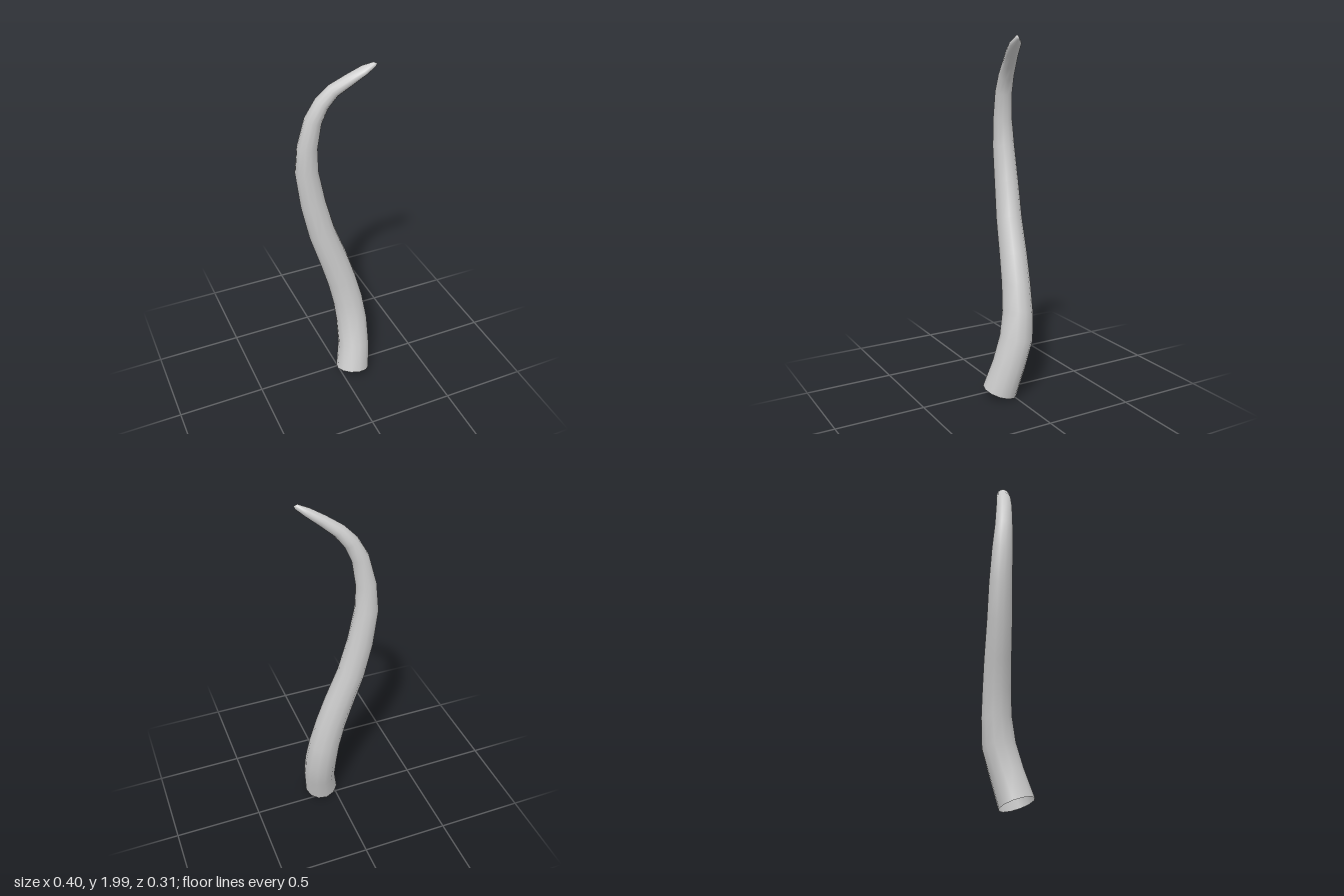
import * as THREE from 'three';

const SIDES = 12;

// Cross-sections from root to tip: centre x, y, z, half width, half depth
const SECTIONS = [
  [0.073, 0.042, 0.062, 0.099, 0.099],
  [0.098, 0.20, 0.017, 0.093, 0.094],
  [0.103, 0.35, -0.027, 0.093, 0.094],
  [0.085, 0.50, -0.046, 0.090, 0.084],
  [0.050, 0.65, -0.056, 0.086, 0.079],
  [0.005, 0.80, -0.065, 0.083, 0.076],
  [-0.062, 1.00, -0.076, 0.077, 0.071],
  [-0.108, 1.20, -0.085, 0.072, 0.066],
  [-0.140, 1.40, -0.085, 0.065, 0.060],
  [-0.137, 1.55, -0.077, 0.056, 0.052],
  [-0.107, 1.70, -0.066, 0.047, 0.047],
  [-0.062, 1.79, -0.056, 0.041, 0.043],
  [-0.005, 1.855, -0.042, 0.036, 0.038],
  [0.070, 1.91, -0.014, 0.030, 0.036],
  [0.140, 1.957, 0.007, 0.023, 0.033],
  [0.188, 1.986, 0.023, 0.014, 0.009],
];

// Skins elliptical rings set square to the curved centre line
function createTentacleGeometry() {
  const centres = SECTIONS.map(([x, y, z]) => new THREE.Vector3(x, y, z));
  const zAxis = new THREE.Vector3(0, 0, 1);
  const positions = [];
  const indices = [];
  const last = SECTIONS.length - 1;

  SECTIONS.forEach(([, , , halfWidth, halfDepth], i) => {
    const tangent = centres[Math.min(i + 1, last)].clone()
      .sub(centres[Math.max(i - 1, 0)]).normalize();
    const across = tangent.clone().cross(zAxis).normalize();
    const depth = across.clone().cross(tangent);
    for (let j = 0; j < SIDES; j++) {
      const angle = (j / SIDES) * Math.PI * 2;
      const p = centres[i].clone()
        .addScaledVector(across, Math.cos(angle) * halfWidth)
        .addScaledVector(depth, Math.sin(angle) * halfDepth);
      positions.push(p.x, p.y, p.z);
      if (i === last) continue;
      const a = i * SIDES + j;
      const b = i * SIDES + (j + 1) % SIDES;
      indices.push(a, a + SIDES, b, b, a + SIDES, b + SIDES);
    }
  });

  // Closed tip; the root stays open
  const tip = SECTIONS.length * SIDES;
  positions.push(0.2, 1.99, 0.026);
  for (let j = 0; j < SIDES; j++) {
    indices.push(last * SIDES + j, tip, last * SIDES + (j + 1) % SIDES);
  }

  const geometry = new THREE.BufferGeometry();
  geometry.setAttribute('position', new THREE.Float32BufferAttribute(positions, 3));
  geometry.setIndex(indices);
  geometry.computeVertexNormals();
  return geometry;
}

export function createModel() {
  const group = new THREE.Group();
  const material = new THREE.MeshStandardMaterial({ color: 0xcccccc, side: THREE.DoubleSide });
  const tentacle = new THREE.Mesh(createTentacleGeometry(), material);
  tentacle.name = 'tentacle';
  group.add(tentacle);
  return group;
}
